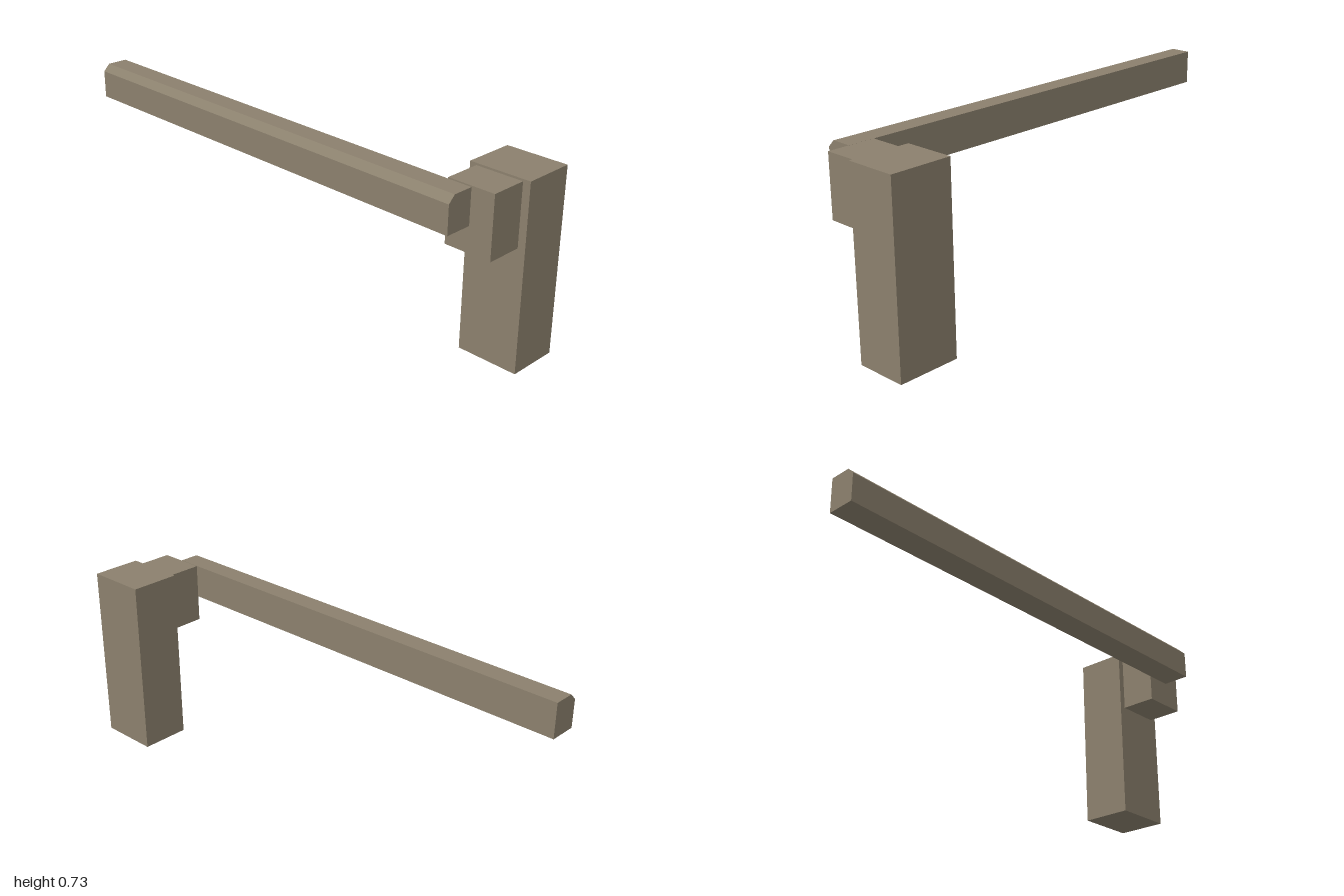
import * as THREE from 'three';

export function createModel() {
  const model = new THREE.Group();
  const wood = new THREE.MeshStandardMaterial({ color: 0x8b806d });
  wood.name = 'weathered wood';

  const add = (name, geometry) => {
    const mesh = new THREE.Mesh(geometry, wood);
    mesh.name = name;
    model.add(mesh);
    return mesh;
  };

  // Box given by its lower and upper corners
  const block = (name, [x0, y0, z0], [x1, y1, z1]) =>
    add(name, new THREE.BoxGeometry(x1 - x0, y1 - y0, z1 - z0))
      .position.set((x0 + x1) / 2, (y0 + y1) / 2, (z0 + z1) / 2);

  // Upright post and the spacer block beside it
  block('post', [0.028, 0, 0.752], [0.233, 0.727, 1]);
  block('spacerBlock', [-0.119, 0.477, 0.779], [0.028, 0.719, 0.97]);

  // Long rail with one chamfered top edge, turned very slightly
  const width = 0.11, height = 0.138, chamfer = 0.027, length = 1.88;
  const profile = new THREE.Shape([
    [0, 0], [width, 0], [width, height], [chamfer, height], [0, height - chamfer],
  ].map(([x, y]) => new THREE.Vector2(x, y)));
  const rail = add('rail', new THREE.ExtrudeGeometry(profile, { depth: length, bevelEnabled: false }));
  rail.position.set(-0.224, 0.579, -1);
  rail.rotation.y = -0.0058;

  return model;
}
